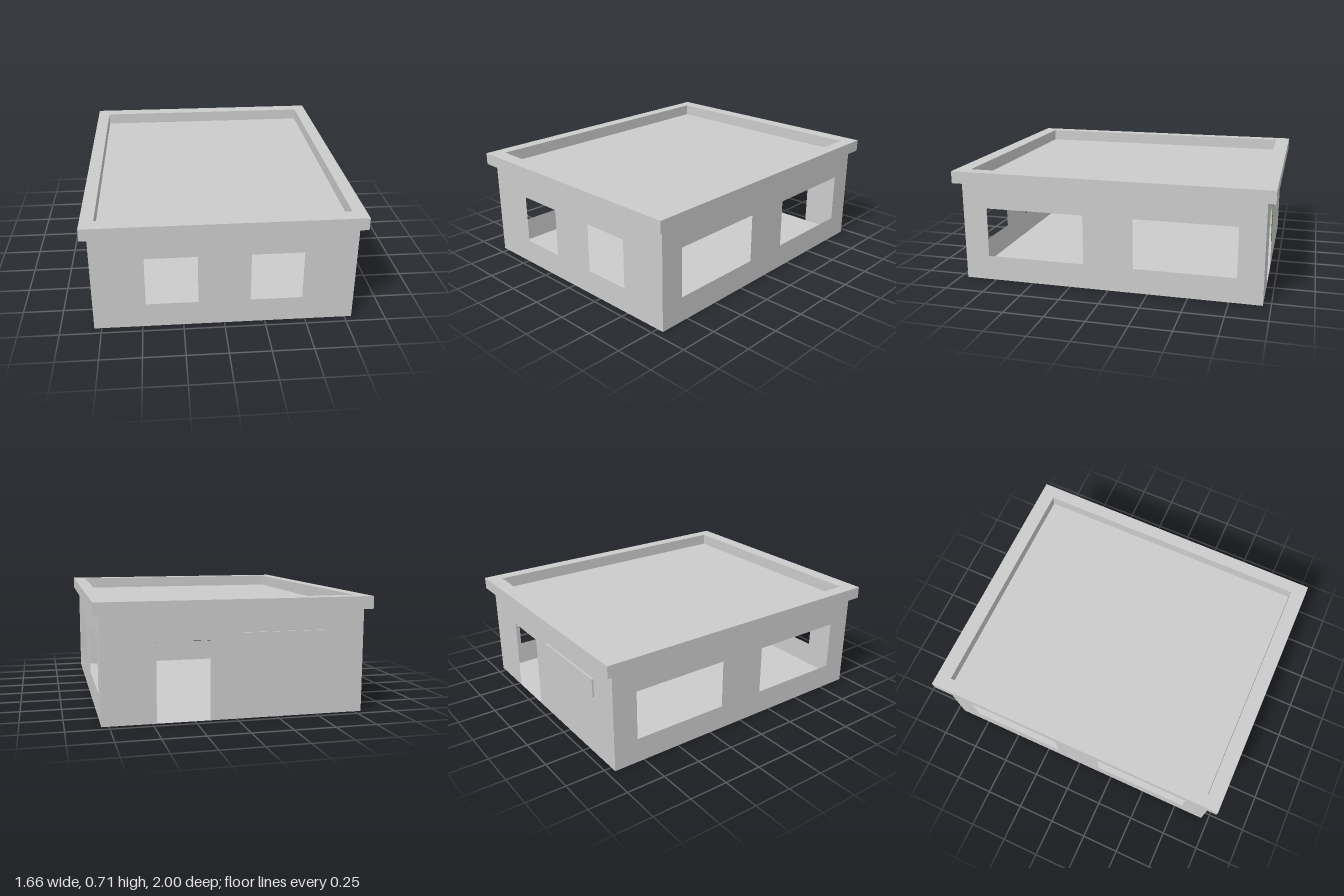
import * as THREE from 'three';

const HX = 0.794, HZ = 0.952, H = 0.637; // half width, half depth and height of the walls
const TOP = 0.714;                       // top of the roof rim
const SILL = 0.159, HEAD = 0.476;        // lower and upper edge of the openings

const grey = new THREE.MeshStandardMaterial({ color: 0xcccccc, flatShading: true, side: THREE.DoubleSide });
const green = new THREE.MeshStandardMaterial({ color: 0x2f6b10, flatShading: true });

function rect(Type, x0, y0, x1, y1) {
  const p = new Type();
  p.moveTo(x0, y0);
  p.lineTo(x1, y0);
  p.lineTo(x1, y1);
  p.lineTo(x0, y1);
  p.closePath();
  return p;
}

function add(parent, name, geometry, material = grey) {
  const mesh = new THREE.Mesh(geometry, material);
  mesh.name = name;
  parent.add(mesh);
  return mesh;
}

// Thin wall of a given half width, with a window for each [from, to] span
function windowWall(half, spans) {
  const shape = rect(THREE.Shape, -half, 0, half, H);
  for (const [a, b] of spans) shape.holes.push(rect(THREE.Path, a, SILL, b, HEAD));
  return new THREE.ShapeGeometry(shape);
}

export function createModel() {
  const building = new THREE.Group();
  building.name = 'building';

  // Front wall with two square windows
  add(building, 'frontWall', windowWall(HX, [[-0.476, -0.159], [0.159, 0.476]])).position.z = HZ;

  // Side walls with two wide windows each
  for (const [name, side] of [['leftWall', 1], ['rightWall', -1]]) {
    const wall = add(building, name, windowWall(HZ, [[-0.794, -0.159], [0.159, 0.794]]));
    wall.rotation.y = side * Math.PI / 2;
    wall.position.x = side * HX;
  }

  // Back wall, notched from the ground for the doorway
  const back = new THREE.Shape();
  [[-HX, 0], [-0.476, 0], [-0.476, HEAD], [-0.159, HEAD], [-0.159, 0], [HX, 0], [HX, H], [-HX, H]]
    .forEach(([x, y], i) => (i ? back.lineTo(x, y) : back.moveTo(x, y)));
  const backWall = add(building, 'backWall', new THREE.ShapeGeometry(back));
  backWall.rotation.y = Math.PI;
  backWall.position.z = -HZ;

  // Floor and flat roof deck
  for (const [name, y] of [['floor', 0], ['roofDeck', H]]) {
    const slab = add(building, name, new THREE.PlaneGeometry(HX * 2, HZ * 2));
    slab.rotation.x = -Math.PI / 2;
    slab.position.y = y;
  }

  // Overhanging rim around the roof
  const rim = rect(THREE.Shape, -0.832, -1, 0.832, 1);
  rim.holes.push(rect(THREE.Path, -0.75, -0.905, 0.75, 0.905));
  const roofRim = add(building, 'roofRim',
    new THREE.ExtrudeGeometry(rim, { depth: TOP - H, bevelEnabled: false }));
  roofRim.rotation.x = -Math.PI / 2;
  roofRim.position.y = H;

  // Blank raised sign beside the doorway
  add(building, 'signPlate', new THREE.BoxGeometry(0.58, 0.12, 0.01))
    .position.set(-0.295, 0.455, -HZ - 0.005);

  // Green board on the inside of the back wall
  add(building, 'chalkboard', new THREE.BoxGeometry(0.64, 0.36, 0.01), green)
    .position.set(-0.317, 0.318, -HZ + 0.006);

  return building;
}
